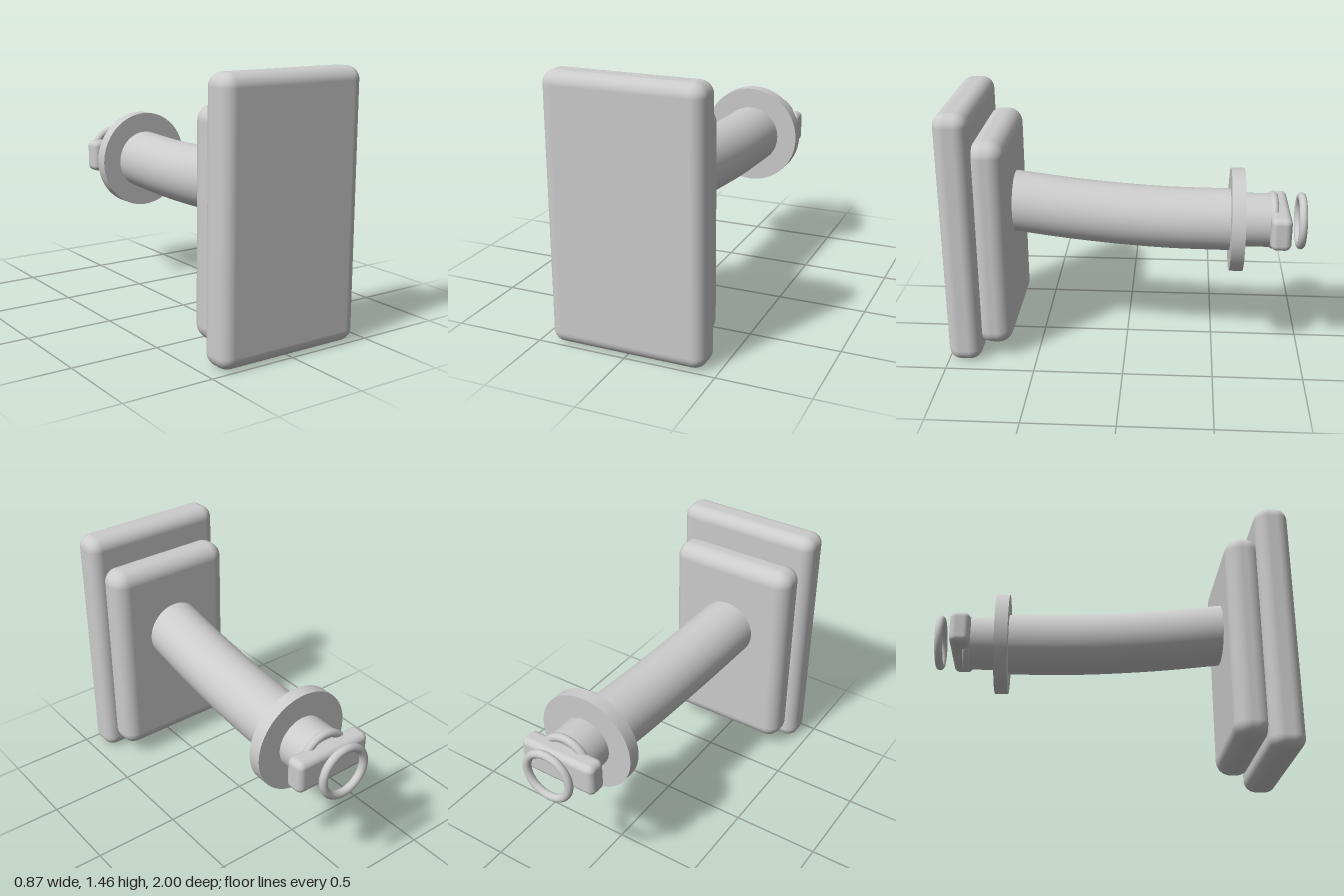
import * as THREE from 'three';
import { RoundedBoxGeometry } from 'three/addons/geometries/RoundedBoxGeometry.js';

const material = new THREE.MeshStandardMaterial({ color: 0xcccccc });
const AXIS_X = 0.095, AXIS_Y = 0.783; // centre line of the rear fittings

export function createModel() {
  const group = new THREE.Group();

  const add = (name, geometry, x, y, z) => {
    const mesh = new THREE.Mesh(geometry, material);
    mesh.name = name;
    mesh.position.set(x, y, z);
    group.add(mesh);
    return mesh;
  };
  // Rounded block given by its size and its z range
  const block = (name, w, h, z0, z1, r, x, y) =>
    add(name, new RoundedBoxGeometry(w, h, z1 - z0, 6, r), x, y, (z0 + z1) / 2);
  // Disc or collar lying along z
  const disc = (name, r, z0, z1) =>
    add(name, new THREE.CylinderGeometry(r, r, z1 - z0, 64).rotateX(Math.PI / 2), AXIS_X, AXIS_Y, (z0 + z1) / 2);
  const ring = (name, z) =>
    add(name, new THREE.TorusGeometry(0.137, 0.023, 16, 64), AXIS_X, AXIS_Y, z);

  // Stacked plates at the front
  block('frontPlate', 0.87, 1.46, 0.81, 1, 0.07, 0, 0.73);
  block('backPlate', 0.77, 1.21, 0.64, 0.84, 0.085, 0, 0.685);

  // Gently curved arm, both ends buried in its neighbours
  const path = new THREE.CatmullRomCurve3([
    new THREE.Vector3(-0.005, 0.837, 0.71),
    new THREE.Vector3(0.035, 0.797, 0.25),
    new THREE.Vector3(0.07, 0.778, -0.2),
    new THREE.Vector3(AXIS_X, 0.782, -0.61),
  ]);
  add('arm', new THREE.TubeGeometry(path, 48, 0.174, 48), 0, 0, 0);

  // Rear flange, collar, rings and cross block
  disc('flange', 0.29, -0.655, -0.58);
  disc('collar', 0.151, -0.81, -0.64);
  ring('collarRing', -0.82);
  block('crossBlock', 0.465, 0.19, -0.91, -0.797, 0.035, AXIS_X, 0.785);
  ring('endRing', -0.977);

  return group;
}
